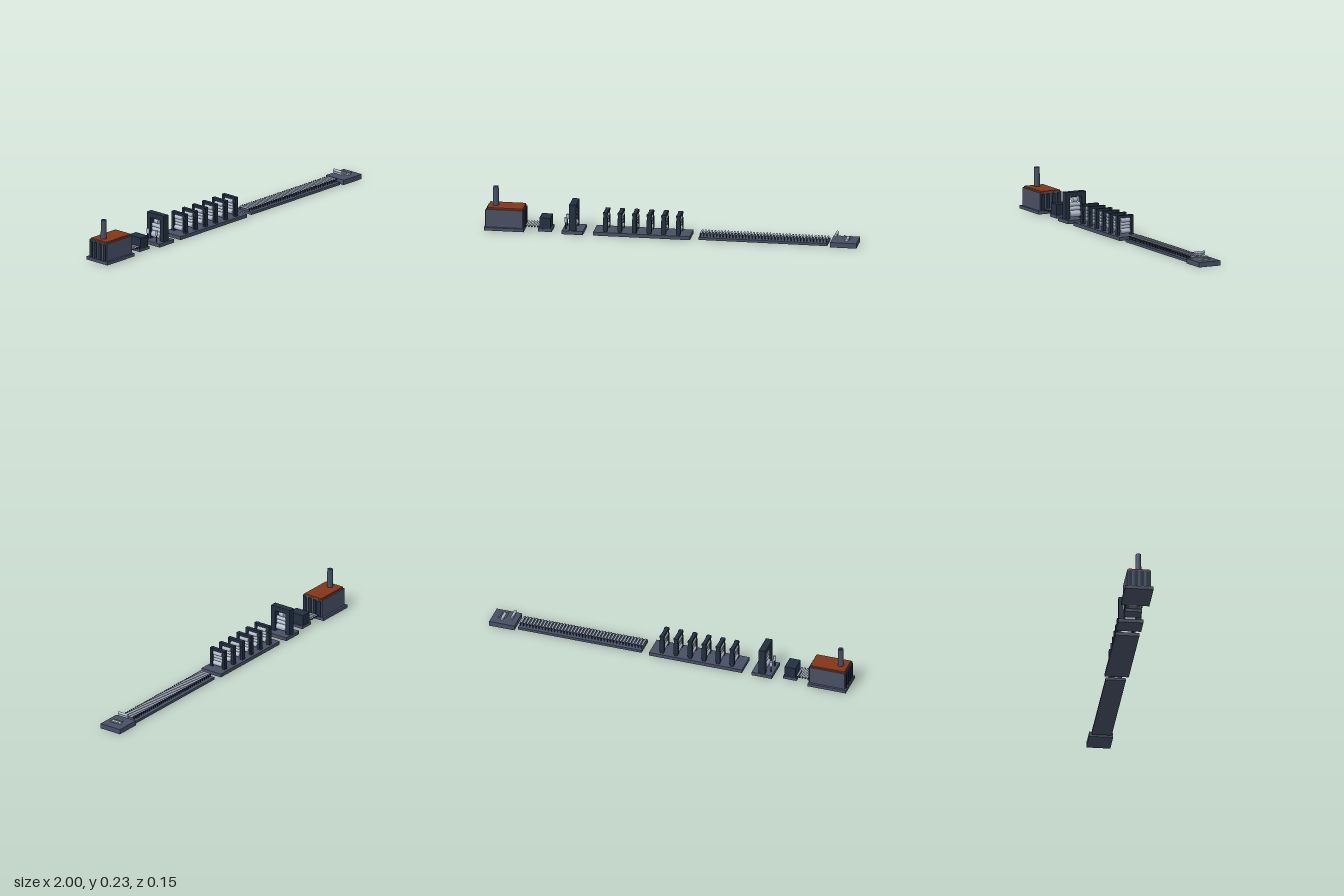
import * as THREE from 'three';

const mat = (name, hex) => {
  const m = new THREE.MeshStandardMaterial({ color: hex });
  m.name = name;
  return m;
};

export function createModel() {
  const root = new THREE.Group();
  root.name = 'rollingMill';
  const slate = mat('slate', 0x475063);
  const dark = mat('darkSteel', 0x22303f);
  const rust = mat('rust', 0x823518);
  const silver = mat('rollSteel', 0xb4c0d0);

  const group = (name) => {
    const g = new THREE.Group();
    g.name = name;
    root.add(g);
    return g;
  };
  // Box given by its lower and upper corners
  const box = (parent, name, m, x0, x1, y0, y1, z0, z1) => {
    const b = new THREE.Mesh(new THREE.BoxGeometry(x1 - x0, y1 - y0, z1 - z0), m);
    b.name = name;
    b.position.set((x0 + x1) / 2, (y0 + y1) / 2, (z0 + z1) / 2);
    parent.add(b);
  };
  // Roll lying across the line, along z
  const roll = (parent, name, m, x, y, r, half, z = 0) => {
    const c = new THREE.Mesh(new THREE.CylinderGeometry(r, r, half * 2, 16), m);
    c.name = name;
    c.rotation.x = Math.PI / 2;
    c.position.set(x, y, z);
    parent.add(c);
  };
  const upright = (parent, name, m, x, y0, y1, z, rTop, rBottom = rTop) => {
    const c = new THREE.Mesh(new THREE.CylinderGeometry(rTop, rBottom, y1 - y0, 18), m);
    c.name = name;
    c.position.set(x, (y0 + y1) / 2, z);
    parent.add(c);
  };
  // Table roll with a dark bearing at each end
  const tableRoll = (parent, x, y, r, half) => {
    roll(parent, 'tableRoll', silver, x, y, r, half);
    for (const s of [-1, 1]) roll(parent, 'rollBearing', dark, x, y, r * 0.9, 0.003, s * (half + 0.003));
  };

  // Reheating furnace
  const furnace = group('furnace');
  box(furnace, 'furnaceBase', slate, -1, -0.787, 0.005, 0.022, -0.076, 0.076);
  box(furnace, 'furnaceBody', slate, -0.99, -0.793, 0.022, 0.119, -0.064, 0.064);
  box(furnace, 'furnaceRoof', rust, -0.986, -0.794, 0.119, 0.127, -0.056, 0.056);
  upright(furnace, 'chimney', slate, -0.947, 0.125, 0.23, 0, 0.0145, 0.016);
  upright(furnace, 'chimneyMouth', dark, -0.947, 0.2295, 0.2305, 0, 0.01);
  for (const z of [-0.048, -0.016, 0.016, 0.048]) {
    box(furnace, 'furnaceDoor', dark, -0.793, -0.786, 0.024, 0.112, z - 0.009, z + 0.009);
    box(furnace, 'furnaceDoor', dark, -0.996, -0.99, 0.024, 0.112, z - 0.009, z + 0.009);
  }

  // Entry roller table and descaling box
  const entry = group('descaler');
  for (let i = 0; i < 5; i++) tableRoll(entry, -0.778 + i * 0.0155, 0.03, 0.005, 0.04);
  box(entry, 'descalerBase', slate, -0.715, -0.64, 0.004, 0.02, -0.046, 0.046);
  box(entry, 'descalerBox', dark, -0.707, -0.647, 0.02, 0.079, -0.044, 0.044);

  // Stand with two posts, lintel, sill and a four-high stack of rolls
  const stand = (parent, x, hw, top, lintel, outer, inner, rolls) => {
    for (const s of [-1, 1]) {
      const za = s * inner, zb = s * outer;
      box(parent, 'standPost', dark, x - hw, x + hw, 0.02, top, Math.min(za, zb), Math.max(za, zb));
    }
    box(parent, 'standLintel', dark, x - hw, x + hw, lintel, top, -inner, inner);
    for (const [y, r] of rolls) {
      roll(parent, 'roll', silver, x, y, r, inner - 0.004);
      roll(parent, 'rollNeck', dark, x, y, r * 0.5, inner + 0.002);
    }
  };

  // Roughing stand with vertical edger rolls
  const rougher = group('roughingMill');
  box(rougher, 'rougherBase', slate, -0.583, -0.47, 0.002, 0.021, -0.067, 0.067);
  stand(rougher, -0.526, 0.018, 0.165, 0.138, 0.061, 0.035,
    [[0.046, 0.018], [0.074, 0.011], [0.096, 0.011]]);
  roll(rougher, 'backupRoll', silver, -0.526, 0.122, 0.015, 0.014);
  for (const z of [-0.03, 0.03]) {
    upright(rougher, 'edgerRoll', silver, -0.567, 0.058, 0.084, z, 0.008);
    upright(rougher, 'edgerShaft', dark, -0.567, 0.02, 0.058, z, 0.003);
  }

  // Train of six finishing stands
  const finishing = group('finishingMill');
  box(finishing, 'finishingBase', slate, -0.415, 0.105, 0.002, 0.021, -0.064, 0.064);
  for (let i = 0; i < 6; i++) {
    const x = -0.352 + i * 0.0784;
    stand(finishing, x, 0.01, 0.127, 0.113, 0.049, 0.032,
      [[0.042, 0.014], [0.064, 0.009], [0.08, 0.009], [0.1, 0.013]]);
    for (const s of [-1, 1]) {
      box(finishing, 'rollChock', dark, x - 0.013, x + 0.013, 0.03, 0.095, s * 0.04 - 0.006, s * 0.04 + 0.006);
      box(finishing, 'postCap', dark, x - 0.013, x + 0.013, 0.115, 0.126, s * 0.04 - 0.006, s * 0.04 + 0.006);
    }
  }

  // Run-out roller table
  const runout = group('runoutTable');
  box(runout, 'runoutBase', slate, 0.15, 0.842, 0.003, 0.017, -0.054, 0.054);
  for (let i = 0; i < 40; i++) {
    const x = 0.158 + i * 0.01735;
    tableRoll(runout, x, 0.03, 0.005, 0.029);
    for (const s of [-1, 1])
      box(runout, 'bearingFoot', dark, x - 0.002, x + 0.002, 0.016, 0.03, s * 0.033 - 0.002, s * 0.033 + 0.002);
  }

  // Down coiler with pinch rolls, mandrel and wrapper rolls
  const coiler = group('coiler');
  box(coiler, 'coilerBase', slate, 0.859, 1, 0, 0.027, -0.064, 0.064);
  roll(coiler, 'pinchRoll', silver, 0.884, 0.058, 0.007, 0.031);
  roll(coiler, 'pinchRoll', silver, 0.884, 0.045, 0.005, 0.031);
  roll(coiler, 'mandrel', silver, 0.942, 0.032, 0.008, 0.029);
  for (const [x, y] of [[0.924, 0.041], [0.942, 0.03], [0.96, 0.038]])
    roll(coiler, 'wrapperRoll', silver, x, y, 0.004, 0.027);

  return root;
}
